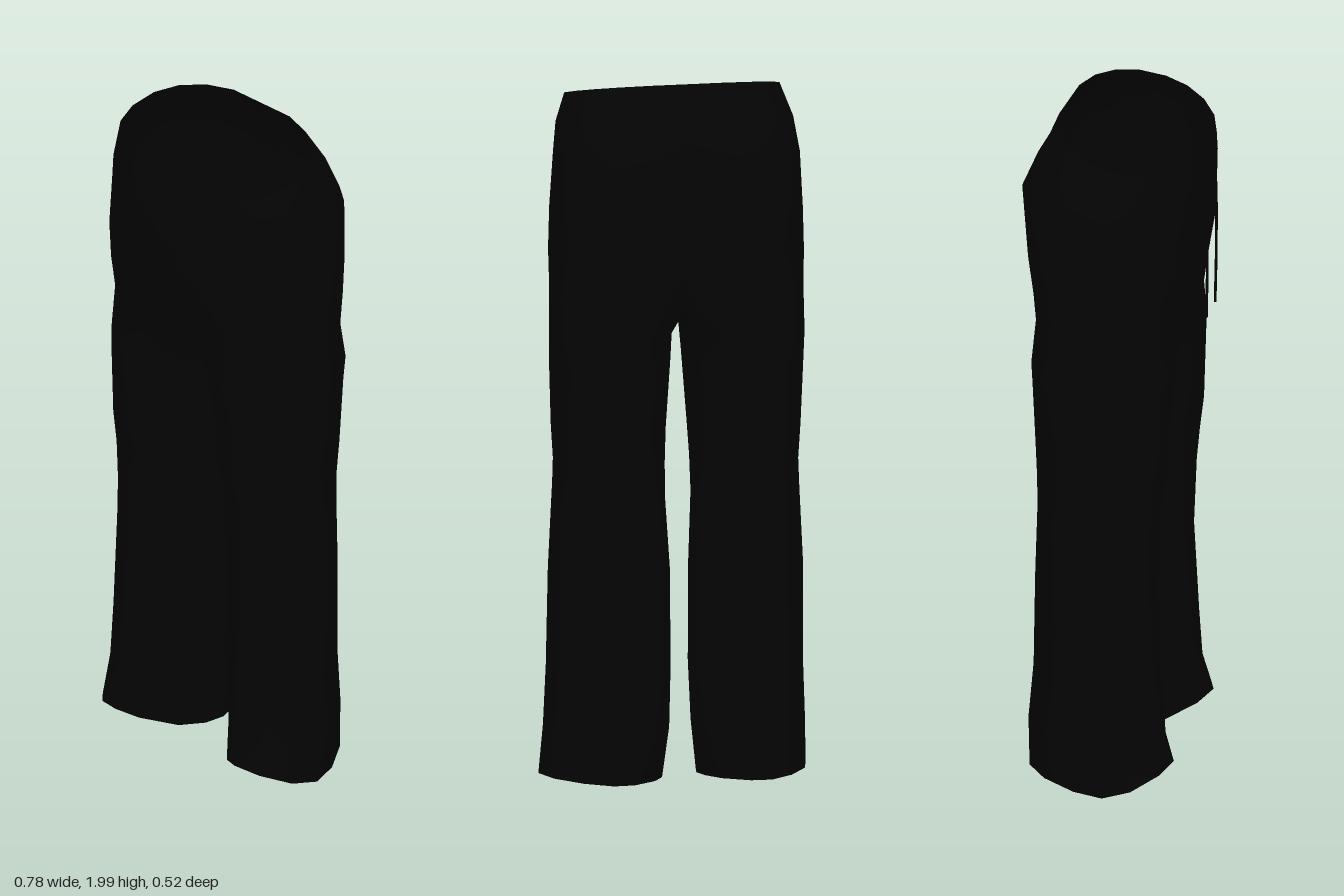
import * as THREE from 'three';

// Leg sections, bottom to top: y, inner x, outer x, front z, back z
const LEG = [
  [0.004, 0.05, 0.388, 0.202, -0.22],
  [0.15, 0.032, 0.38, 0.175, -0.226],
  [0.32, 0.026, 0.373, 0.165, -0.212],
  [0.6, 0.028, 0.37, 0.15, -0.207],
  [0.8, 0.04, 0.36, 0.158, -0.2],
  [0.9, 0.04, 0.355, 0.168, -0.2],
  [1.0, 0.036, 0.36, 0.18, -0.203],
  [1.2, 0.022, 0.366, 0.187, -0.212],
  [1.27, 0.018, 0.366, 0.19, -0.215],
];
// Hip sections: y, tilt, outer x, front z, back z, front cleft, back cleft, roundness
const HIP = [
  [1.4, 0, 0.365, 0.2, -0.217, 0.12, 0.25, 0.92],
  [1.5, 0, 0.364, 0.212, -0.222, 0.05, 0.22, 0.86],
  [1.62, 0, 0.359, 0.232, -0.242, 0.02, 0.18, 0.87],
  [1.78, 0.02, 0.35, 0.242, -0.262, 0, 0.11, 0.93],
  [1.87, 0.1, 0.34, 0.246, -0.218, 0, 0.06, 0.98],
  [1.96, 0.225, 0.31, 0.246, -0.157, 0, 0, 1],
];
const OUTER = 10; // segments from front centre round the outside to back centre
const RING = 14; // points of a closed leg section
const rad = THREE.MathUtils.degToRad;
const lerp = THREE.MathUtils.lerp;
const bulge = (v, e) => Math.sign(v) * Math.abs(v) ** e;

function legRing([y, xIn, xOut, zF, zB], row) {
  const pts = [];
  const up = row / (LEG.length - 1);
  const e = lerp(1.24, 0.94, up);
  const turn = lerp(0.25, -0.06, up); // the feet point slightly outwards
  for (let j = 0; j < RING; j++) {
    const a = rad(j <= OUTER ? -50 + 28 * j : 230 + 20 * (j - OUTER));
    const dx = ((xOut - xIn) / 2) * bulge(Math.sin(a), e);
    const z = (zF + zB) / 2 + ((zF - zB) / 2) * bulge(Math.cos(a), e) + turn * dx;
    // the hem lifts over the foot
    const lift = row === 0 ? 0.062 * Math.max(0, z / 0.2) ** 2 : 0;
    pts.push([(xIn + xOut) / 2 + dx, y + lift, z]);
  }
  return pts;
}

function hipRing([y, tilt, xOut, zF, zB, cF, cB, round]) {
  const pts = [];
  for (let j = 0; j <= OUTER; j++) {
    const t = (Math.PI * j) / OUTER;
    const c = Math.cos(t);
    const front = c > 0;
    const e = front ? round : round - 0.1; // the seat is fuller than the front
    const centre = j % OUTER === 0;
    const cleft = centre ? 1 - (front ? cF : cB) : 1;
    const x = centre ? 0 : xOut * Math.sin(t) ** e;
    const depth = THREE.MathUtils.clamp(1.06 * bulge(c, e), -1, 1) * cleft;
    const z = (zF + zB) / 2 + ((zF - zB) / 2) * depth;
    pts.push([x, y - tilt * z, z]);
  }
  return pts;
}

// Indexed skin from points and triangles, mirrored for the right side
function skin(points, triangles, side) {
  const g = new THREE.BufferGeometry();
  const pos = points.flatMap(([x, y, z]) => [x * side, y, z]);
  g.setAttribute('position', new THREE.Float32BufferAttribute(pos, 3));
  g.setIndex(triangles.flatMap(([a, b, c]) => (side > 0 ? [a, b, c] : [a, c, b])));
  g.computeVertexNormals();
  return g;
}

// One half of the trousers: leg, crotch seam and hip in one piece
function halfGeometry(side) {
  const rings = [...LEG.map(legRing), ...HIP.map(hipRing)];
  const seam = LEG.length;
  rings[seam].push([0, 1.33, -0.1], [0, 1.31, 0], [0, 1.335, 0.1]);
  const points = [], start = [], triangles = [];
  for (const ring of rings) {
    start.push(points.length);
    points.push(...ring);
  }
  for (let r = 0; r < rings.length - 1; r++) {
    const n = r < seam ? RING : OUTER;
    for (let j = 0; j < n; j++) {
      const k = r < seam ? (j + 1) % RING : j + 1;
      const a = start[r] + j, b = start[r] + k;
      const c = start[r + 1] + k, d = start[r + 1] + j;
      triangles.push([a, b, c], [a, c, d]);
    }
  }
  return skin(points, triangles, side);
}

// Panel closing the leg at the hem
function hemPanel(side) {
  const ring = legRing(LEG[0], 0);
  const triangles = ring.map((_, j) => [RING, (j + 1) % RING, j]);
  return skin([...ring, [0.22, 0.012, 0]], triangles, side);
}

// Drawstring hanging from the waistband
function drawstring(side) {
  const path = new THREE.CatmullRomCurve3([
    new THREE.Vector3(0.05 * side, 1.85, 0.243),
    new THREE.Vector3(0.05 * side, 1.8, 0.253),
    new THREE.Vector3(0.052 * side, 1.6, 0.256),
    new THREE.Vector3(0.05 * side, 1.39, 0.253),
  ]);
  return new THREE.TubeGeometry(path, 12, 0.004, 6);
}

export function createModel() {
  const model = new THREE.Group();
  model.name = 'trousers';
  const cloth = new THREE.MeshStandardMaterial({ color: 0x040404, side: THREE.DoubleSide });
  cloth.name = 'black cloth';
  const add = (name, geometry) => {
    const mesh = new THREE.Mesh(geometry, cloth);
    mesh.name = name;
    model.add(mesh);
  };
  for (const [name, side] of [['left', 1], ['right', -1]]) {
    add(name + 'TrouserHalf', halfGeometry(side));
    add(name + 'HemPanel', hemPanel(side));
    add(name + 'Drawstring', drawstring(side));
  }
  return model;
}
